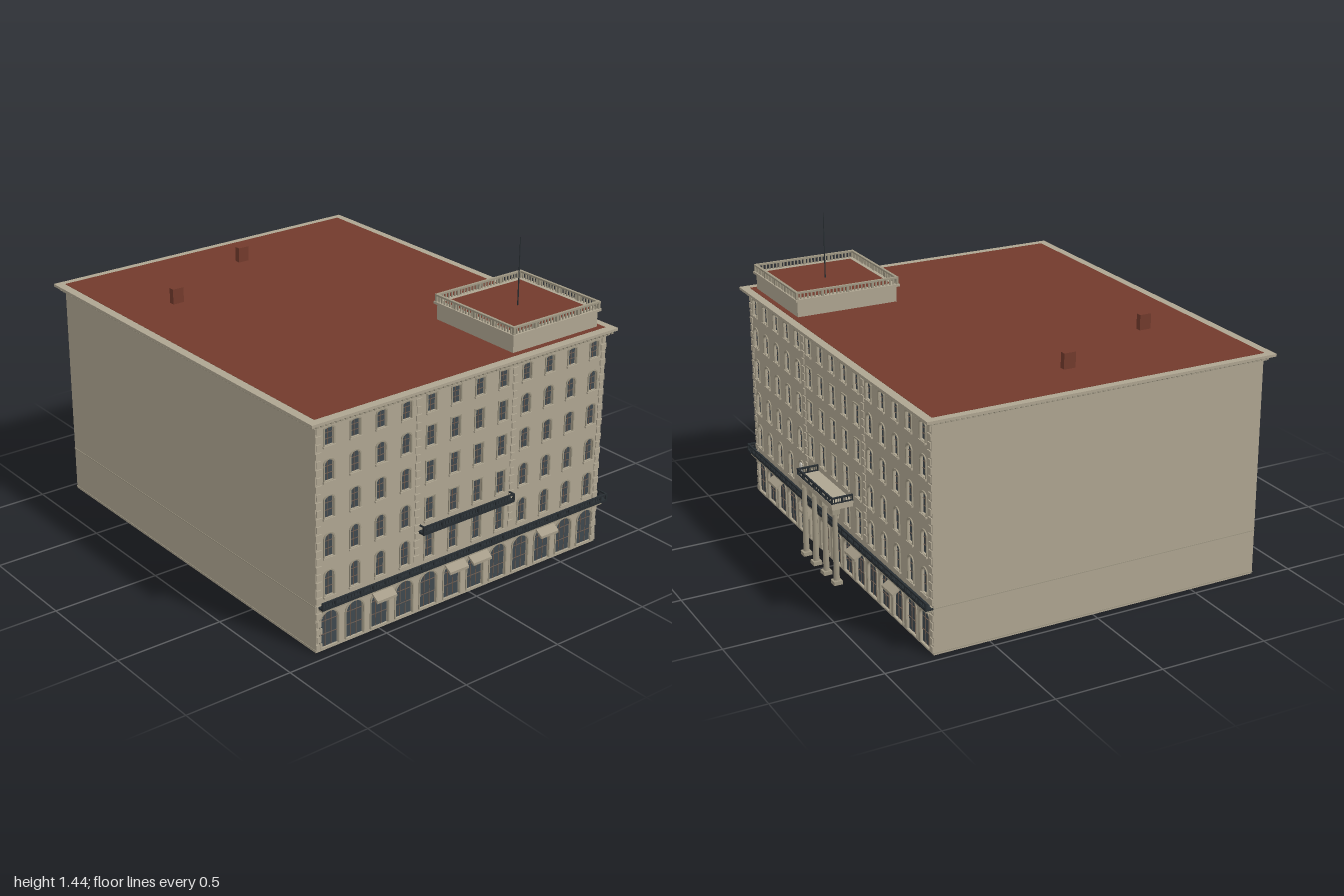
import * as THREE from 'three';
import { mergeGeometries } from 'three/addons/utils/BufferGeometryUtils.js';

const mat = (name, color) => new THREE.MeshStandardMaterial({ name, color, side: THREE.DoubleSide });
const M = {
  stone: mat('stone', 0xaea591),
  trim: mat('trim stone', 0x9f9783),
  roof: mat('roof red', 0x723a2c),
  glass: mat('window glass', 0x3f484e),
  iron: mat('dark iron', 0x272d31),
  bars: mat('window bars', 0x6d5c50),
  awning: mat('awning cloth', 0xa59c88),
  pale: mat('pale shutter', 0xd9d5ca),
};

// Body limits
const X0 = -0.83, X1 = 0.76, Z0 = -0.96, Z1 = 0.947, TOP = 1.03, GROUND = 0.2;

const box = (x0, x1, y0, y1, z0, z1) =>
  new THREE.BoxGeometry(x1 - x0, y1 - y0, z1 - z0).translate((x0 + x1) / 2, (y0 + y1) / 2, (z0 + z1) / 2);

function put(group, name, material, geos) {
  const list = [].concat(geos).map(g => (g.index ? g.toNonIndexed() : g));
  const mesh = new THREE.Mesh(list.length > 1 ? mergeGeometries(list) : list[0], material);
  mesh.name = name;
  group.add(mesh);
  return mesh;
}

// Opening outline with an optional elliptical arch on top
function outline(path, x, y0, y1, w, rise) {
  path.moveTo(x - w / 2, y0);
  path.lineTo(x + w / 2, y0);
  path.lineTo(x + w / 2, y1 - rise);
  if (rise > 0) path.absellipse(x, y1 - rise, w / 2, rise, 0, Math.PI, false, 0);
  else path.lineTo(x - w / 2, y1);
  path.closePath();
  return path;
}

const extrude = (shape, depth, z = 0) =>
  new THREE.ExtrudeGeometry(shape, { depth, bevelEnabled: false, curveSegments: 10 }).translate(0, 0, z);

// Horizontal rectangular ring
function ring(x0, x1, z0, z1, t, y0, y1) {
  const s = new THREE.Shape([[x0, -z1], [x1, -z1], [x1, -z0], [x0, -z0]].map(p => new THREE.Vector2(...p)));
  s.holes.push(new THREE.Path([[x0 + t, -z1 + t], [x0 + t, -z0 - t], [x1 - t, -z0 - t], [x1 - t, -z1 + t]]
    .map(p => new THREE.Vector2(...p))));
  return extrude(s, y1 - y0).rotateX(-Math.PI / 2).translate(0, y0, 0);
}

// Straight iron railing along x
function railing(x0, x1, y0, y1, z, bays, thin) {
  const out = [box(x0, x1, y1 - 0.007, y1, z - 0.004, z + 0.004), box(x0, x1, y0, y0 + 0.005, z - 0.003, z + 0.003)];
  const step = (x1 - x0) / bays;
  for (let i = 0; i <= bays; i++) {
    const x = x0 + i * step;
    out.push(box(x - 0.004, x + 0.004, y0, y1, z - 0.004, z + 0.004));
    for (let j = 1; j < thin && i < bays; j++) {
      const u = x + (j * step) / thin;
      out.push(box(u - 0.0012, u + 0.0012, y0, y1, z - 0.0012, z + 0.0012));
    }
  }
  return out;
}

// Rows of upper windows: bottom, top, arch rise
const ROWS = [[0.25, 0.365, 0.024], [0.427, 0.532, 0.024], [0.603, 0.7, 0.015], [0.767, 0.86, 0.022], [0.922, 1.0, 0.008]];

// One decorated street wall, drawn in x and y and facing +z
function facade(name, u0, u1, cols, first, step, isCentre, awnings, pilasters) {
  const g = new THREE.Group();
  g.name = name;
  const wall = new THREE.Shape([[u0, 0], [u1, 0], [u1, TOP], [u0, TOP]].map(p => new THREE.Vector2(...p)));
  const glass = [], surrounds = [], bars = [], sills = [], cloth = [], quoins = [];

  const opening = (x, y0, y1, w, rise, verticals, levels) => {
    wall.holes.push(outline(new THREE.Path(), x, y0, y1, w, rise));
    glass.push(new THREE.ShapeGeometry(outline(new THREE.Shape(), x, y0, y1, w, rise), 10).translate(0, 0, -0.009));
    const frame = outline(new THREE.Shape(), x, y0, y1 + 0.006, w + 0.012, rise ? rise + 0.003 : 0);
    frame.holes.push(outline(new THREE.Path(), x, y0 + 0.001, y1, w, rise));
    surrounds.push(extrude(frame, 0.005));
    for (let i = 1; i <= verticals; i++) {
      const u = x - w / 2 + (i * w) / (verticals + 1);
      bars.push(box(u - 0.0012, u + 0.0012, y0, y1 - rise * 0.15, -0.009, -0.006));
    }
    for (const t of levels) {
      const y = y0 + (y1 - y0) * t;
      bars.push(box(x - w / 2, x + w / 2, y - 0.001, y + 0.001, -0.009, -0.006));
    }
  };

  for (let c = 0; c < cols; c++) {
    const x = first + c * step;
    opening(x, 0.012, 0.178, 0.09, 0.042, 2, [0.35, 0.72]);
    for (const [y0, y1, rise] of ROWS) {
      opening(x, y0, y1, 0.046, isCentre(c) ? 0 : rise, 1, [0.33, 0.66]);
      sills.push(box(x - 0.031, x + 0.031, y0 - 0.008, y0, 0, 0.009));
    }
    // Sloping awning with a short valance
    if (awnings.includes(c)) {
      const s = new THREE.Shape([[0, 0.2], [0, 0.194], [0.048, 0.155], [0.053, 0.155], [0.053, 0.167]]
        .map(p => new THREE.Vector2(...p)));
      cloth.push(extrude(s, 0.104).rotateY(-Math.PI / 2).translate(x + 0.052, 0, 0));
    }
  }

  // Quoins on the corners and on two inner strips
  for (const [a, b, start] of [[u0, u0 + 0.03, 0.01], [u1 - 0.03, u1, 0.01], ...pilasters.map(p => [p - 0.015, p + 0.015, 0.25])]) {
    for (let y = start, i = 0; y < 1.0; y += 0.036, i++) {
      const inset = i % 2 ? 0.004 : 0;
      quoins.push(box(a + inset, b - inset, y, y + 0.027, 0, 0.005));
    }
  }

  put(g, 'wall', M.stone, extrude(wall, 0.014, -0.014));
  put(g, 'windowGlass', M.glass, glass);
  put(g, 'windowSurrounds', M.trim, surrounds);
  put(g, 'windowBars', M.bars, bars);
  put(g, 'windowSills', M.stone, sills);
  put(g, 'awnings', M.awning, cloth);
  put(g, 'quoins', M.stone, quoins);

  // Long balcony above the ground floor
  put(g, 'longBalconySlab', M.trim, box(u0 + 0.01, u1, 0.2, 0.207, 0, 0.034));
  put(g, 'longBalconyRail', M.iron, [box(u0 + 0.01, u1, 0.207, 0.215, 0, 0.035),
    ...railing(u0 + 0.012, u1 - 0.004, 0.215, 0.243, 0.031, cols * 2, 4)]);
  return g;
}

export function createModel() {
  const model = new THREE.Group();
  model.name = 'cornerBuilding';

  // Street walls
  const front = facade('frontFacade', X0, X1, 12, -0.762, 0.132, c => c > 3 && c < 8, [2, 5, 6, 9], [-0.302, 0.228]);
  front.position.z = Z1;
  const right = facade('streetSideFacade', -Z1, -Z0, 15, -0.882, 0.1264, c => c > 4 && c < 10, [2, 5, 9, 12], [-0.313, 0.32]);
  right.rotation.y = Math.PI / 2;
  right.position.x = X1;
  model.add(front, right);

  // Corner piece joining the two long balconies
  put(model, 'balconyCorner', M.iron, [box(X1, X1 + 0.035, 0.205, 0.215, Z1, Z1 + 0.035),
    box(X1 - 0.004, X1 + 0.035, 0.236, 0.243, Z1 + 0.027, Z1 + 0.035),
    box(X1 + 0.027, X1 + 0.035, 0.236, 0.243, Z1 - 0.004, Z1 + 0.035),
    box(X1 + 0.027, X1 + 0.035, 0.215, 0.243, Z1 + 0.027, Z1 + 0.035)]);

  // Small upper balcony on the front
  put(front, 'upperBalconySlab', M.iron, box(-0.292, 0.22, 0.38, 0.39, 0, 0.035));
  put(front, 'upperBalconyRail', M.iron, railing(-0.288, 0.216, 0.39, 0.42, 0.031, 5, 6));
  put(front, 'upperBalconyEnds', M.iron, [-0.288, 0.216].map(x => box(x - 0.003, x + 0.003, 0.414, 0.42, 0, 0.031)));

  // Closed pale shutter on one side window
  const shutterX = -0.882 + 4 * 0.1264;
  put(right, 'paleShutter', M.pale, [-1, 1].map(s =>
    box(shutterX + s * 0.011 - 0.009, shutterX + s * 0.011 + 0.009, 0.252, 0.352, -0.004, 0.003)));

  // Plain party walls with a thin course line
  put(model, 'backWall', M.stone, box(X0, X1, 0, TOP, Z0, Z0 + 0.012));
  put(model, 'leftWall', M.stone, box(X0, X0 + 0.012, 0, TOP, Z0, Z1 - 0.014));
  put(model, 'courseLines', M.trim, [0.008, GROUND + 0.01].flatMap(y => [
    box(X0 - 0.002, X1, y, y + 0.004, Z0 - 0.002, Z0), box(X0 - 0.002, X0, y, y + 0.004, Z0, Z1)]));

  // Entrance portico
  const portico = new THREE.Group();
  portico.name = 'entrancePortico';
  put(portico, 'porticoSlab', M.stone, [box(X1, 0.858, 0.362, 0.38, -0.188, 0.182), box(X1, 0.864, 0.38, 0.392, -0.194, 0.188)]);
  for (const z of [0.165, 0.053, -0.06, -0.172]) {
    const shaft = new THREE.CylinderGeometry(0.011, 0.014, 0.32, 14).translate(0.84, 0.18, z);
    put(portico, 'porticoColumn', M.trim, [shaft, box(0.82, 0.86, 0, 0.018, z - 0.02, z + 0.02),
      box(0.822, 0.858, 0.34, 0.362, z - 0.018, z + 0.018)]);
  }
  const porticoRail = railing(-0.184, 0.19, 0.392, 0.422, 0, 6, 5).map(g => g.rotateY(Math.PI / 2).translate(0.859, 0, 0));
  for (const z of [-0.19, 0.184]) porticoRail.push(...railing(X1, 0.859, 0.392, 0.422, z, 2, 4));
  put(portico, 'porticoRail', M.iron, porticoRail);
  model.add(portico);

  // Cornice with dentils
  put(model, 'cornice', M.stone, [ring(-0.868, 0.798, -1, 0.98, 0.04, 1.033, 1.045),
    ring(X0 - 0.012, X1 + 0.012, Z0 - 0.012, Z1 + 0.012, 0.03, 1.012, 1.02)]);
  const dentils = [];
  for (let x = X0 - 0.01; x < X1 + 0.02; x += 0.024)
    for (const z of [Z0 - 0.025, Z1]) dentils.push(box(x, x + 0.012, 1.02, 1.033, z, z + 0.025));
  for (let z = Z0 - 0.01; z < Z1 + 0.01; z += 0.024)
    for (const x of [X0 - 0.025, X1]) dentils.push(box(x, x + 0.025, 1.02, 1.033, z, z + 0.012));
  put(model, 'dentils', M.trim, dentils);

  // Roof and chimneys
  put(model, 'roof', M.roof, box(-0.828, 0.76, 1.036, 1.046, -0.965, 0.94));
  for (const [x, z] of [[-0.55, -0.45], [0.003, -0.728]])
    put(model, 'chimney', M.roof, box(x - 0.028, x + 0.028, 1.04, 1.117, z - 0.014, z + 0.014));

  // Roof terrace with balustrade
  const terrace = new THREE.Group();
  terrace.name = 'roofTerrace';
  const [a, b, c, d] = [0.228, 0.746, 0.41, 0.925];
  put(terrace, 'terraceWalls', M.stone, ring(a + 0.012, b - 0.012, c + 0.012, d - 0.012, 0.012, 1.04, 1.12));
  put(terrace, 'terraceRim', M.stone, ring(a, b, c, d, 0.03, 1.12, 1.131));
  put(terrace, 'terraceFloor', M.roof, box(a + 0.02, b - 0.02, 1.122, 1.13, c + 0.02, d - 0.02));
  put(terrace, 'terraceHandrail', M.trim, ring(a + 0.004, b - 0.004, c + 0.004, d - 0.004, 0.013, 1.157, 1.165));
  const posts = [];
  for (let i = 0; i <= 28; i++) {
    const w = i % 7 ? 0.003 : 0.006;
    const x = THREE.MathUtils.lerp(a + 0.01, b - 0.01, i / 28), z = THREE.MathUtils.lerp(c + 0.01, d - 0.01, i / 28);
    for (const q of [c + 0.01, d - 0.01]) posts.push(box(x - w, x + w, 1.131, 1.157, q - w, q + w));
    for (const p of [a + 0.01, b - 0.01]) posts.push(box(p - w, p + w, 1.131, 1.157, z - w, z + w));
  }
  put(terrace, 'terraceBalusters', M.trim, posts);
  put(terrace, 'flagpole', M.iron, new THREE.CylinderGeometry(0.002, 0.003, 0.312, 8).translate(0.488, 1.286, 0.67));
  model.add(terrace);

  return model;
}
